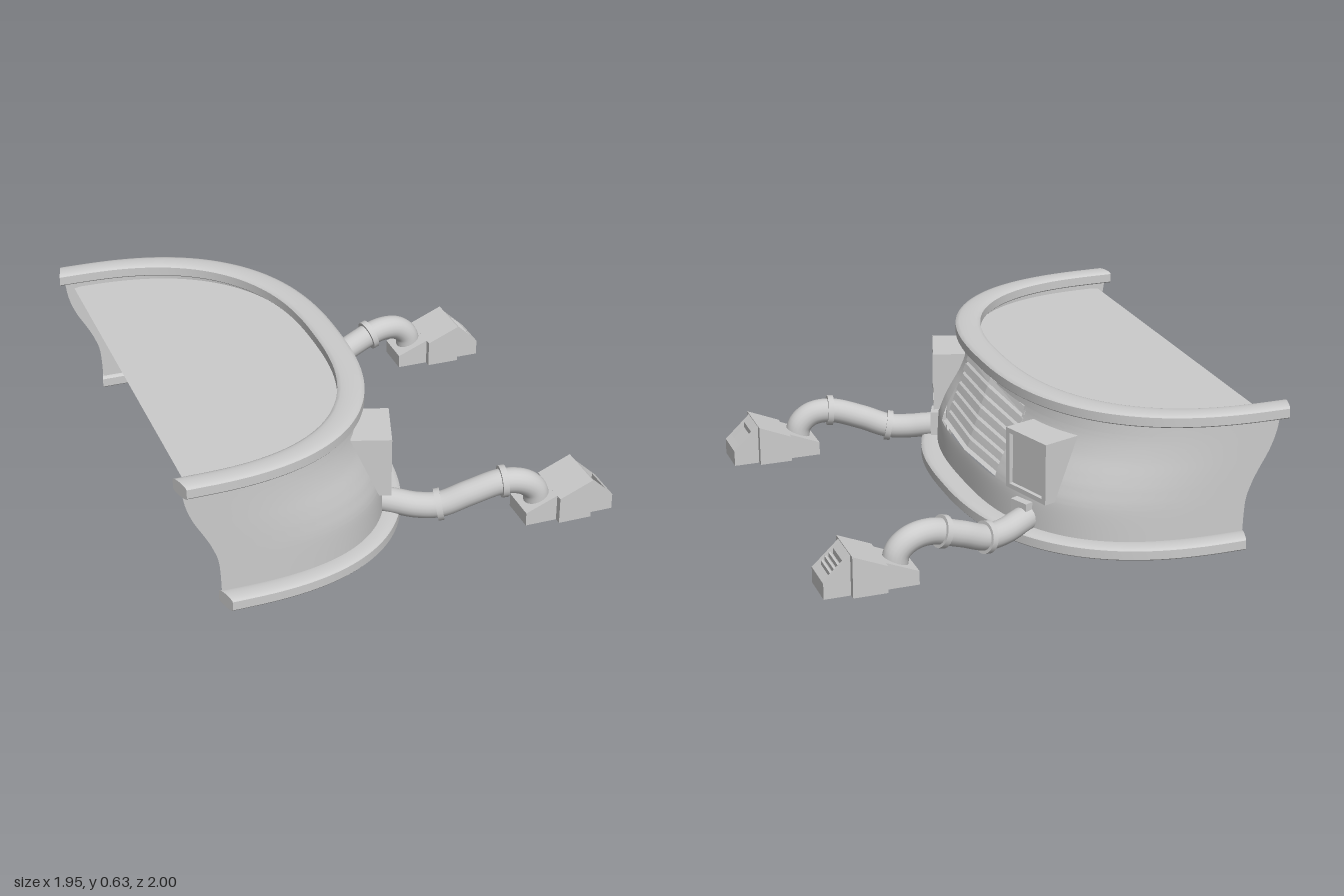
import * as THREE from 'three';
import { toCreasedNormals } from 'three/addons/utils/BufferGeometryUtils.js';

const material = new THREE.MeshStandardMaterial({ color: 0xcccccc });
const sheetMaterial = new THREE.MeshStandardMaterial({ color: 0xcccccc, side: THREE.DoubleSide });

function add(parent, name, geometry, mat = material) {
  const mesh = new THREE.Mesh(geometry, mat);
  mesh.name = name;
  parent.add(mesh);
  return mesh;
}

// Skin through rows of points; closed sections get end caps
function loft(rows, closed, crease = 0.6) {
  const n = rows[0].length, pos = rows.flat(2), index = [];
  for (let r = 0; r < rows.length - 1; r++) {
    for (let j = 0; j < (closed ? n : n - 1); j++) {
      const k = (j + 1) % n, a = r * n + j, b = a + n, c = (r + 1) * n + k, d = r * n + k;
      index.push(a, b, d, b, c, d);
    }
  }
  if (closed) {
    const e = (rows.length - 1) * n;
    for (let j = 1; j < n - 1; j++) index.push(0, j, j + 1, e, e + j + 1, e + j);
  }
  const g = new THREE.BufferGeometry();
  g.setAttribute('position', new THREE.Float32BufferAttribute(pos, 3));
  g.setIndex(index);
  return toCreasedNormals(g, crease);
}

// U-shaped plan curve (squared ellipse); off runs from 0 (outer edge of rim) to 1 (inner edge)
const STEPS = 72, RIM_POWER = 2.5, WALL_POWER = 2.75;
function planPoint(i, off, power) {
  const a = 0.93 - 0.11 * off, b = 1 - 0.095 * off;
  if (i < 0 || i > STEPS) return [-0.95 - 0.027 * off, i < 0 ? -b : b];
  const t = (i / STEPS - 0.5) * Math.PI, s = Math.sin(t);
  return [-0.9 + a * Math.max(Math.cos(t), 0) ** (2 / power), b * Math.sign(s) * Math.abs(s) ** (2 / power)];
}

// Sweep [off, y, shiftX] section points along the plan curve
function sweep(section, closed, power, from = -1, to = STEPS + 1) {
  const rows = [];
  for (let i = from; i <= to; i++) {
    rows.push(section.map(([off, y, shift]) => {
      const [x, z] = planPoint(i, off, power);
      return [x + shift, y, z];
    }));
  }
  return loft(rows, closed);
}

// Rim section with softly domed top and bottom
function rimSection(y, shift) {
  const s = [], side = 0.019, dome = 0.012;
  for (const sign of [1, -1]) {
    for (let i = 0; i <= 8; i++) {
      const t = (i / 8) * Math.PI;
      s.push([0.5 + sign * 0.5 * Math.cos(t), y + sign * (side + dome * Math.sin(t)), shift]);
    }
  }
  return s;
}

function extrudeAcross(points, width) {
  const g = new THREE.ExtrudeGeometry(new THREE.Shape(points.map(p => new THREE.Vector2(...p))),
    { depth: width, bevelEnabled: false });
  return g.translate(0, 0, -width / 2);
}

function rectangle(T, w, h) {
  return new T([[-w, -h], [w, -h], [w, h], [-w, h]].map(([x, y]) => new THREE.Vector2(x / 2, y / 2)));
}

// Wall leaning outward at the top in an S-curve, with an opening for the grille
function wall() {
  const g = new THREE.Group();
  g.name = 'wall';
  const profile = new THREE.SplineCurve([
    [0.02, 0.59], [0.035, 0.5], [0.065, 0.42], [0.11, 0.34], [0.14, 0.28], [0.165, 0.2], [0.173, 0.05],
  ].map(p => new THREE.Vector2(...p)));
  const points = profile.getPoints(60).map(p => [0.82, p.y, p.x]);
  const top = points.findIndex(p => p[1] < 0.52), bottom = points.findIndex(p => p[1] < 0.22);
  const panel = (name, a, b, from, to) =>
    add(g, name, sweep(points.slice(a, b + 1), false, WALL_POWER, from, to), sheetMaterial);
  panel('upperWall', 0, top);
  panel('rightWall', top, bottom, -1, 30);
  panel('leftWall', top, bottom, 42, STEPS + 1);
  panel('lowerWall', bottom, points.length - 1);
  return g;
}

// Leaning louvred panel, bent along its centre line and set into the wall
function grille() {
  const slats = 7, rows = [];
  for (const z of [-0.36, 0, 0.36]) {
    const mid = z === 0 ? 1 : 0, x0 = 0.05 + 0.027 * mid;
    const row = [[-0.15, 0.36, z], [-0.15, 0.53, z], [x0 - 0.115, 0.53, z]];
    for (let i = 0; i < slats; i++) {
      for (const [f, out] of [[0.04, 0], [0.2, 0.011], [0.85, 0.013], [1, 0]]) {
        const u = 1 - (i + f) / slats;
        row.push([x0 - 0.112 * u + out - 0.005, Math.min(0.21 + 0.31 * u + mid * 0.025 * u, 0.525), z]);
      }
    }
    row.push([x0 + 0.02, 0.205, z], [-0.15, 0.205, z]);
    rows.push(row);
  }
  return loft(rows, true, 0.1);
}

// Wedge housing with framed, recessed front
function pod(side) {
  const g = new THREE.Group();
  g.name = 'sidePod';
  add(g, 'podBody', extrudeAcross([[-0.17, 0.133], [-0.05, -0.133], [-0.018, -0.133], [-0.018, 0.133]], 0.258));
  const shape = rectangle(THREE.Shape, 0.258, 0.266);
  shape.holes.push(rectangle(THREE.Path, 0.212, 0.225));
  const frame = new THREE.ExtrudeGeometry(shape, { depth: 0.018, bevelEnabled: false });
  add(g, 'podFrame', frame.rotateY(Math.PI / 2).translate(-0.018, 0, 0));
  g.position.set(0.04, 0.353, 0.593 * side);
  g.rotation.y = -0.315 * side;
  return g;
}

// Wedge-shaped foot with narrow heel, wide middle and framed toe
function foot(side) {
  const g = new THREE.Group();
  g.name = 'foot';
  add(g, 'heel', extrudeAcross([[0.575, 0], [0.72, 0], [0.72, 0.12], [0.575, 0.06]], 0.165));
  add(g, 'footBlock', extrudeAcross([[0.715, 0], [0.862, 0], [0.862, 0.18], [0.715, 0.118]], 0.225));
  add(g, 'toe', extrudeAcross([[0.86, 0], [0.973, 0], [0.973, 0.045], [0.86, 0.15]], 0.16));
  for (const z of [-0.074, 0.074]) {
    add(g, 'toeCheek', extrudeAcross([[0.86, 0], [0.975, 0], [0.975, 0.07], [0.86, 0.178]], 0.018)).position.z = z;
  }
  add(g, 'toeSill', extrudeAcross([[0.95, 0], [0.975, 0], [0.975, 0.07], [0.95, 0.092]], 0.14));
  add(g, 'toeLintel', extrudeAcross([[0.86, 0.1], [0.89, 0.1], [0.89, 0.149], [0.86, 0.178]], 0.14));
  if (side < 0) {
    for (let i = 0; i < 3; i++) {
      const bar = add(g, 'toeBar', new THREE.BoxGeometry(0.009, 0.02, 0.14));
      bar.position.set(0.905 + i * 0.016, 0.123 - i * 0.015, 0);
    }
  }
  g.position.z = 0.727 * side;
  return g;
}

// Hose with two collars, running from the wall to a foot
function leg(side) {
  const g = new THREE.Group();
  g.name = 'leg';
  const path = new THREE.CatmullRomCurve3([
    [0.02, 0.108, 0.56], [0.08, 0.1, 0.595], [0.15, 0.09, 0.63], [0.24, 0.093, 0.663], [0.36, 0.14, 0.692],
    [0.5, 0.182, 0.716], [0.59, 0.17, 0.73], [0.643, 0.125, 0.733], [0.657, 0.05, 0.733],
  ].map(([x, y, z]) => new THREE.Vector3(x, y, z * side)));
  add(g, 'hose', new THREE.TubeGeometry(path, 64, 0.055, 20));
  for (const u of side > 0 ? [0.315, 0.69] : [0.32, 0.61]) {
    const collar = add(g, 'hoseCollar', new THREE.CylinderGeometry(0.069, 0.069, 0.026, 24));
    collar.position.copy(path.getPointAt(u));
    collar.quaternion.setFromUnitVectors(new THREE.Vector3(0, 1, 0), path.getTangentAt(u));
  }
  const mount = add(g, 'hoseMount', new THREE.BoxGeometry(0.07, 0.145, 0.09));
  mount.position.set(0.027, 0.112, 0.55 * side);
  mount.rotation.y = -0.4 * side;
  g.add(foot(side));
  return g;
}

export function createModel() {
  const model = new THREE.Group();
  model.name = 'curvedCounter';

  add(model, 'topRim', sweep(rimSection(0.603, 0), true, RIM_POWER));
  add(model, 'bottomRim', sweep(rimSection(0.043, 0.17), true, RIM_POWER));

  // Flat table top inside the upper rim
  const outline = [];
  for (let i = 0; i <= STEPS; i++) {
    const [x, z] = planPoint(i, 0.85, RIM_POWER);
    outline.push([x + 0.02, -z]);
  }
  outline.push([-0.912, -0.91], [-0.912, 0.91]);
  const top = new THREE.ShapeGeometry(new THREE.Shape(outline.map(p => new THREE.Vector2(...p))));
  add(model, 'tableTop', top.rotateX(-Math.PI / 2).translate(0, 0.555, 0), sheetMaterial);

  model.add(wall());
  add(model, 'grille', grille());
  for (const side of [1, -1]) model.add(pod(side), leg(side));
  return model;
}
